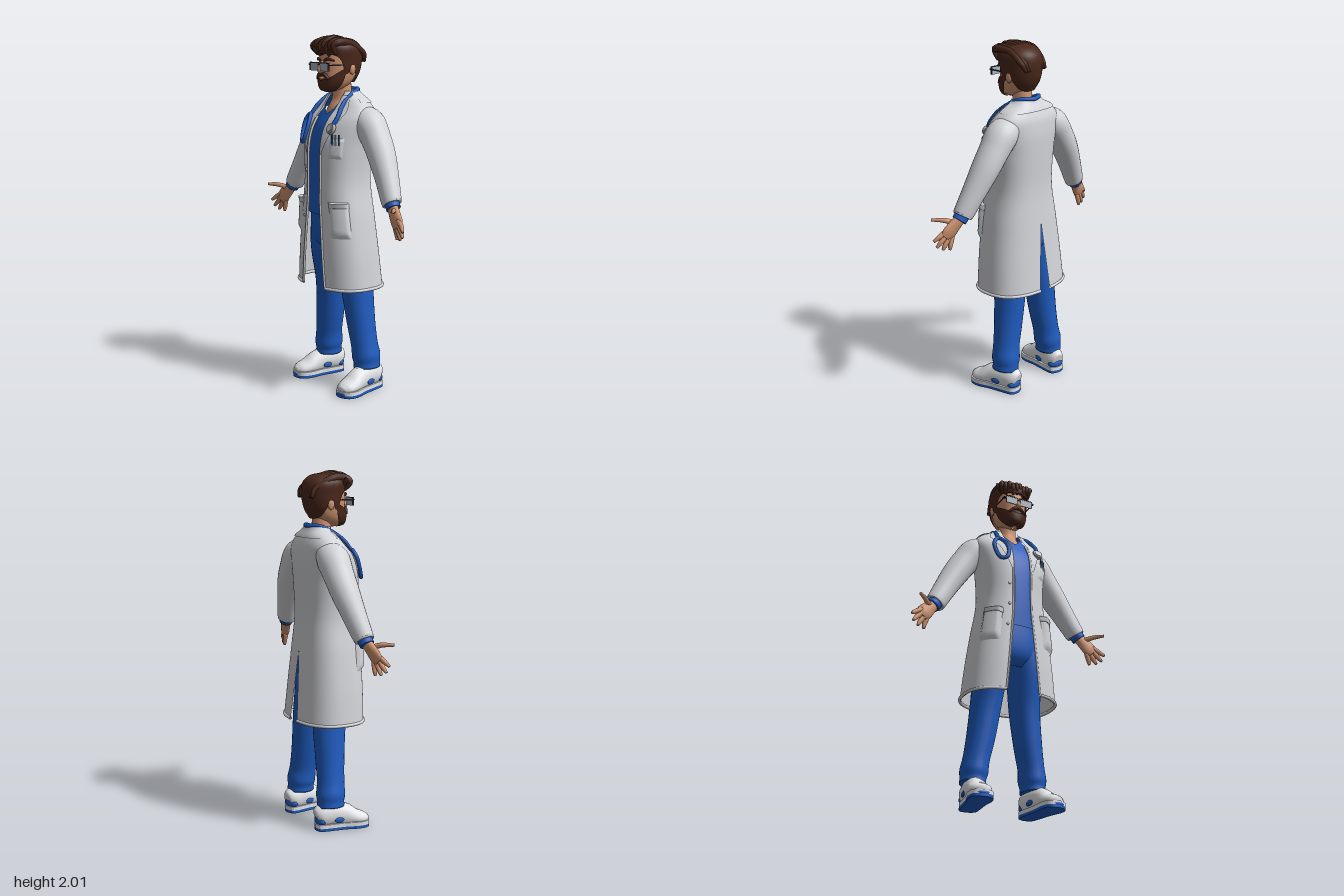
import * as THREE from 'three';
import { mergeVertices } from 'three/addons/utils/BufferGeometryUtils.js';

const V = (x, y, z) => new THREE.Vector3(x, y, z);
const mat = (name, color, side = THREE.FrontSide) => {
  const m = new THREE.MeshStandardMaterial({ color, side });
  m.name = name;
  return m;
};

// Smooth lookup in a table whose rows are [key, ...values]
function at(rows, k) {
  const n = rows.length - 1;
  k = Math.min(Math.max(k, rows[0][0]), rows[n][0]);
  let i = 0;
  while (i < n - 1 && k > rows[i + 1][0]) i++;
  const a = rows[i], b = rows[i + 1], p = rows[Math.max(i - 1, 0)], q = rows[Math.min(i + 2, n)];
  const h = b[0] - a[0], s = (k - a[0]) / h, s2 = s * s, s3 = s2 * s;
  return a.slice(1).map((v, j) => {
    const c = j + 1, m0 = (b[c] - p[c]) / (b[0] - p[0]) * h, m1 = (q[c] - a[c]) / (q[0] - a[0]) * h;
    return (2 * s3 - 3 * s2 + 1) * v + (s3 - 2 * s2 + s) * m0 + (3 * s2 - 2 * s3) * b[c] + (s3 - s2) * m1;
  });
}

// Surface from f(u, v); v x u points outward
function sheet(nu, nv, f) {
  const pos = [], idx = [];
  for (let i = 0; i <= nu; i++) for (let j = 0; j <= nv; j++) pos.push(...f(i / nu, j / nv).toArray());
  for (let i = 0; i < nu; i++) for (let j = 0; j < nv; j++) {
    const a = i * (nv + 1) + j, b = a + nv + 1;
    idx.push(a, a + 1, b, a + 1, b + 1, b);
  }
  let g = new THREE.BufferGeometry();
  g.setAttribute('position', new THREE.Float32BufferAttribute(pos, 3));
  g.setIndex(idx);
  g = mergeVertices(g, 1e-5);
  g.computeVertexNormals();
  return g;
}

// Capped limb through rows [x, y, z, width, depth]
function limb(rows, ref = V(0, 0, 1), nu = 26, nv = 18) {
  const R = rows.map((r, i) => [i, ...r]), L = rows.length - 1;
  return sheet(nu, nv, (u, v) => {
    const i = Math.round(u * nu), s = THREE.MathUtils.clamp((i - 1) / (nu - 2), 0, 1) * L;
    const [x, y, z, ra, rb] = at(R, s), cap = i === 0 || i === nu ? 0 : 1;
    const T = V(...at(R, s + 0.02)).sub(V(...at(R, s - 0.02))).normalize();
    const N = ref.clone().cross(T).normalize(), B = T.clone().cross(N), a = (v % 1) * Math.PI * 2;
    return V(x, y, z).addScaledVector(N, Math.cos(a) * ra * cap).addScaledVector(B, Math.sin(a) * rb * cap);
  });
}

// Point on a body shell of rows [y, halfWidth, zFront, zBack]; angle 0 is the front
const P = 0.8;
const pw = (v, p) => Math.sign(v) * Math.abs(v) ** p;
function shell(rows, y, t, off = 0, p = P) {
  const [w, f, b] = at(rows, y);
  return V((w + off) * pw(Math.sin(t), p), y, (f + b) / 2 + ((f - b) / 2 + off) * pw(Math.cos(t), p));
}
const angleOf = (rows, y, x) => Math.asin(Math.min(1, Math.abs(x) / at(rows, y)[0]) ** (1 / P));
const patch = (rows, lo, hi, t0, t1, off = 0, p = P, nu = 24, nv = 48) => sheet(nu, nv, (u, v) => {
  const t = t0 + (t1 - t0) * v, a = lo(Math.abs(t)), b = hi(Math.abs(t));
  return shell(rows, a + (b - a) * Math.sin(u * Math.PI / 2), t, off, p);
});

const COAT = [[0.6, 0.27, 0.195, -0.19], [0.8, 0.25, 0.195, -0.172], [1, 0.222, 0.19, -0.155], [1.2, 0.19, 0.186, -0.142],
  [1.4, 0.198, 0.182, -0.148], [1.5, 0.212, 0.155, -0.15], [1.56, 0.22, 0.118, -0.146], [1.6, 0.21, 0.08, -0.14],
  [1.65, 0.16, 0.045, -0.118], [1.68, 0.1, 0.03, -0.1], [1.7, 0.08, 0.025, -0.09]];
const SHIRT = [[1, 0.178, 0.162, -0.12], [1.2, 0.165, 0.167, -0.12], [1.4, 0.17, 0.16, -0.125], [1.5, 0.175, 0.134, -0.125],
  [1.58, 0.15, 0.092, -0.115], [1.64, 0.11, 0.058, -0.1], [1.67, 0.08, 0.04, -0.085]];
const HIPS = [[0.8, 0.1, 0.09, -0.08], [0.85, 0.165, 0.125, -0.115], [0.92, 0.18, 0.14, -0.12], [1.06, 0.165, 0.145, -0.115]];
const HEAD = [[1.695, 0.005, 0.09, 0.05], [1.705, 0.04, 0.115, 0.01], [1.74, 0.07, 0.126, -0.05], [1.8, 0.086, 0.126, -0.09],
  [1.88, 0.092, 0.124, -0.105], [1.94, 0.08, 0.1, -0.09], [1.975, 0.01, 0.02, -0.01]];
const HAIR = [[1.74, 0.07, 0.09, -0.075], [1.8, 0.1, 0.12, -0.108], [1.88, 0.11, 0.13, -0.122], [1.94, 0.11, 0.138, -0.114],
  [1.975, 0.082, 0.112, -0.08], [1.988, 0.05, 0.075, -0.04], [1.993, 0.002, 0.022, 0.018]];
const HAIRLINE = [[0, 1.905], [0.8, 1.895], [1.1, 1.86], [1.25, 1.8], [1.45, 1.8], [1.6, 1.84], [1.85, 1.8], [2.2, 1.755], [3.15, 1.742]];
const BEARDLINE = [[0, 1.762], [0.3, 1.768], [0.7, 1.782], [1.15, 1.812], [1.45, 1.83]];

const opening = y => (y > 1.1 ? 0.057 : 0.057 + (1.1 - y) * 0.092);
const frontEdge = y => angleOf(COAT, y, opening(y));
const backEdge = y => Math.PI - angleOf(COAT, y, y < 1 ? 0.1 * (1 - y) : 0);
const onCoat = (x, y, off = 0.012) => {
  const t = angleOf(COAT, y, x) * Math.sign(x);
  return shell(COAT, y, t).add(V(0, off * 0.3, off));
};

export function createModel() {
  const root = new THREE.Group();
  root.name = 'doctor';
  const coat = mat('coatWhite', 0xd3d4d8, THREE.DoubleSide), blue = mat('scrubBlue', 0x1f5cc0, THREE.DoubleSide);
  const skin = mat('skin', 0xcf9370), hair = mat('hairBrown', 0x4a281b, THREE.DoubleSide), lens = mat('lensGrey', 0xa9b4bf);
  const frame = mat('frameDark', 0x2b2b30), shoeWhite = mat('shoeWhite', 0xe4e5e8), metal = mat('metal', 0xa3a7ae);

  const add = (name, geo, m, parent = root) => {
    const o = new THREE.Mesh(geo, m);
    o.name = name;
    parent.add(o);
    return o;
  };
  const mirror = geo => {
    const g = geo.clone().scale(-1, 1, 1), ix = g.index.array;
    for (let i = 0; i < ix.length; i += 3) [ix[i], ix[i + 1]] = [ix[i + 1], ix[i]];
    g.computeVertexNormals();
    return g;
  };
  const both = (name, geo, m) => { add('left' + name, geo, m); add('right' + name, mirror(geo), m); };
  const tube = (pts, r, n = 40) => new THREE.TubeGeometry(new THREE.CatmullRomCurve3(pts), n, r, 8);
  const ball = (x, y, z, a, b, c) => new THREE.SphereGeometry(1, 20, 14).scale(a, b, c).translate(x, y, z);
  const box = (x, y, z, a, b, c) => new THREE.BoxGeometry(a, b, c).translate(x, y, z);

  // Coat halves with open front and back vent
  both('CoatHalf', sheet(56, 40, (u, v) => {
    const y = 0.6 + 1.1 * u, a = frontEdge(y);
    return shell(COAT, y, a + (backEdge(y) - a) * v);
  }), coat);
  const steps = [...Array(17).keys()].map(i => i / 16);
  both('CoatHem', tube(steps.map(s => {
    const a = frontEdge(0.61);
    return shell(COAT, 0.61, a + (backEdge(0.61) - a) * s);
  }), 0.009), coat);
  both('CoatFrontEdge', tube(steps.map(s => shell(COAT, 0.61 + s * 0.95, frontEdge(0.61 + s * 0.95))), 0.007), coat);
  both('Lapel', sheet(20, 8, (u, v) => {
    const y = 1.36 + 0.32 * u;
    return shell(COAT, y, frontEdge(y) + v * (0.05 + 0.42 * Math.min(1, u * 1.4)), 0.009);
  }), coat);
  add('collar', patch(COAT, () => 1.64, () => 1.7, 1.3, 2 * Math.PI - 1.3, 0.009), coat);

  // Pockets, bulging most at the top
  const pocket = (y0, y1, t0, t1, d) => sheet(12, 12, (u, v) => shell(COAT, y0 + (y1 - y0) * u, t0 + (t1 - t0) * v,
    d * Math.min(1, 6 * v, 6 * (1 - v), 8 * u, 20 * (1 - u)) * (0.7 + 0.3 * u) + 0.001));
  both('HipPocket', pocket(0.9, 1.1, 0.52, 1.2, 0.02), coat);
  both('PocketFlap', pocket(1.065, 1.1, 0.5, 1.22, 0.028), coat);
  add('chestPocket', pocket(1.34, 1.45, 0.5, 1.02, 0.009), coat);
  [[0.135, blue], [0.15, metal], [0.165, blue]].forEach(([x, m], i) => {
    const p = onCoat(x, 1.44, 0.012);
    add('pen' + i, new THREE.CylinderGeometry(0.005, 0.005, 0.06, 8).translate(p.x, p.y, p.z), m);
  });
  for (const y of [1.0, 1.13, 1.26]) {
    const p = shell(COAT, y, -frontEdge(y) - 0.12, 0.003);
    add('button', ball(p.x, p.y, p.z, 0.008, 0.008, 0.005), coat);
  }

  // Sleeves and cuffs
  both('Sleeve', limb([[0.12, 1.575, -0.045, 0.055, 0.07], [0.195, 1.53, -0.045, 0.086, 0.092], [0.26, 1.45, -0.045, 0.08, 0.086],
    [0.32, 1.36, -0.038, 0.075, 0.08], [0.39, 1.24, -0.02, 0.065, 0.066], [0.445, 1.14, -0.002, 0.058, 0.056],
    [0.457, 1.12, 0, 0.053, 0.052]], undefined, 34, 24), coat);
  both('Cuff', limb([[0.44, 1.145, 0, 0.043, 0.043], [0.476, 1.098, 0.006, 0.041, 0.04]]), blue);

  // Hands, palms forward
  both('Palm', limb([[0.45, 1.125, 0, 0.03, 0.026], [0.49, 1.083, 0.015, 0.038, 0.025], [0.53, 1.037, 0.028, 0.045, 0.021],
    [0.552, 1.012, 0.033, 0.036, 0.014]]), skin);
  [['Index', [0.548, 1.048, 0.033], [0.588, 1.022, 0.045], [0.615, 1.0, 0.06]],
    ['Middle', [0.545, 1.028, 0.033], [0.58, 0.992, 0.04], [0.602, 0.965, 0.05]],
    ['Ring', [0.53, 1.012, 0.03], [0.556, 0.972, 0.033], [0.57, 0.946, 0.038]],
    ['Pinky', [0.512, 1.01, 0.026], [0.526, 0.966, 0.024], [0.53, 0.94, 0.025]],
    ['Thumb', [0.49, 1.085, 0.018], [0.54, 1.103, 0.06], [0.588, 1.106, 0.105]]].forEach(([n, a, b, c]) =>
    both(n + 'Finger', limb([[...a, 0.015, 0.014], [...b, 0.0135, 0.013], [...c, 0.008, 0.008]], undefined, 12, 10), skin));

  // Scrubs
  add('shirt', patch(SHIRT, () => 1.015, t => 1.575 + 0.09 * Math.min(1, t / 0.6), -Math.PI, Math.PI), blue);
  add('hips', patch(HIPS, () => 0.8, () => 1.06, -Math.PI, Math.PI), blue);
  both('TrouserLeg', limb([[0.09, 0.95, 0.005, 0.088, 0.125], [0.105, 0.8, 0, 0.095, 0.115], [0.12, 0.6, -0.025, 0.086, 0.097],
    [0.145, 0.4, -0.035, 0.079, 0.084], [0.168, 0.27, -0.042, 0.073, 0.079], [0.178, 0.2, -0.048, 0.077, 0.084],
    [0.182, 0.16, -0.05, 0.07, 0.079], [0.184, 0.13, -0.05, 0.071, 0.08]], undefined, 44, 24), blue);

  // Shoes
  const outline = new THREE.Shape();
  outline.setFromPoints(new THREE.SplineCurve([[0, -0.148], [0.045, -0.13], [0.054, -0.06], [0.058, 0.02], [0.07, 0.1], [0.052, 0.155], [0, 0.175],
    [-0.052, 0.155], [-0.066, 0.1], [-0.054, 0.02], [-0.052, -0.06], [-0.045, -0.13], [0, -0.148]]
    .map(p => new THREE.Vector2(p[0], -p[1]))).getPoints(48));
  const sole = (y, h) => new THREE.ExtrudeGeometry(outline, { depth: h, bevelEnabled: false }).rotateX(-Math.PI / 2).translate(0, y, 0);
  for (const s of [1, -1]) {
    const shoe = new THREE.Group();
    shoe.name = s > 0 ? 'leftShoe' : 'rightShoe';
    shoe.position.set(s * 0.197, 0, 0);
    shoe.rotation.y = s * 0.16;
    root.add(shoe);
    add('outsole', sole(0, 0.016), blue, shoe);
    add('midsole', sole(0.016, 0.022), shoeWhite, shoe);
    add('upper', limb([[0, 0.07, -0.14, 0.034, 0.045], [0, 0.08, -0.11, 0.052, 0.068], [0, 0.085, -0.04, 0.056, 0.073],
      [0, 0.073, 0.03, 0.058, 0.066], [0, 0.055, 0.09, 0.064, 0.045], [0, 0.044, 0.14, 0.054, 0.034], [0, 0.04, 0.168, 0.025, 0.02]],
    V(0, 1, 0)), shoeWhite, shoe);
    add('toeBumper', ball(0, 0.022, 0.155, 0.04, 0.018, 0.022), blue, shoe);
    add('heelPatch', ball(0, 0.055, -0.115, 0.052, 0.032, 0.032), blue, shoe);
    for (const x of [-1, 1]) add('sidePatch', ball(x * 0.056, 0.06, -0.02, 0.006, 0.016, 0.028), blue, shoe);
    for (let i = 0; i < 4; i++) add('lace', tube([V(-0.035, 0.118 - i * 0.013, 0.03 + i * 0.02), V(0, 0.138 - i * 0.014, 0.032 + i * 0.02),
      V(0.035, 0.118 - i * 0.013, 0.03 + i * 0.02)], 0.006, 10), shoeWhite, shoe);
  }

  // Neck, head and face
  add('neck', limb([[0, 1.5, 0.015, 0.1, 0.07], [0, 1.57, 0.01, 0.085, 0.07], [0, 1.64, -0.008, 0.06, 0.058], [0, 1.7, -0.01, 0.053, 0.055],
    [0, 1.8, 0, 0.052, 0.055]]), skin);
  add('head', patch(HEAD, () => 1.695, () => 1.975, -Math.PI, Math.PI, 0, 0.9), skin);
  add('nose', limb([[0, 1.865, 0.122, 0.009, 0.01], [0, 1.835, 0.135, 0.012, 0.014], [0, 1.815, 0.14, 0.017, 0.016], [0, 1.804, 0.13, 0.01, 0.01]]), skin);
  both('Ear', ball(0.1, 1.822, -0.004, 0.011, 0.03, 0.02), skin);
  add('beard', patch(HEAD, () => 1.695, t => at(BEARDLINE, t)[0], -1.45, 1.45, 0.011, 0.9), hair);
  both('Moustache', limb([[0, 1.796, 0.132, 0.008, 0.01], [0.025, 1.792, 0.13, 0.01, 0.011], [0.05, 1.768, 0.118, 0.008, 0.01]]), hair);
  add('lip', ball(0, 1.773, 0.131, 0.024, 0.008, 0.01), skin);
  both('Eyebrow', limb([[0.016, 1.868, 0.126, 0.006, 0.006], [0.045, 1.877, 0.12, 0.008, 0.007], [0.075, 1.868, 0.1, 0.004, 0.005]]), hair);

  // Hair cap with swept locks
  add('hairCap', patch(HAIR, t => at(HAIRLINE, t)[0], () => 1.993, -Math.PI, Math.PI, 0, 0.95, 24, 72), hair);
  for (let i = -4; i <= 4; i++) {
    const x = i * 0.023, d = Math.abs(i) * 0.004, w = 0.008 * Math.sin(i * 2.3);
    add('lock', limb([[x * 0.9, 1.9 + w, 0.118 - d * 1.5, 0.008, 0.008], [x * 1.02 - 0.008, 1.945 + w, 0.132 - d, 0.017, 0.014],
      [x + 0.008, 1.983 - d * 0.9 + w * 0.4, 0.085, 0.02, 0.016], [x, 1.977 - d, 0.0, 0.02, 0.016], [x * 0.9 + 0.01, 1.925 - d, -0.085, 0.016, 0.014],
      [x * 0.8, 1.86, -0.11, 0.008, 0.008]], V(1, 0, 0), 26, 10), hair);
  }
  add('sideTuft', limb([[-0.07, 1.93, 0.08, 0.02, 0.02], [-0.1, 1.945, 0.085, 0.014, 0.014], [-0.115, 1.968, 0.08, 0.004, 0.004]]), hair);

  // Glasses
  both('Lens', box(0.046, 1.833, 0.146, 0.07, 0.042, 0.005), lens);
  both('LensRim', box(0.046, 1.856, 0.146, 0.076, 0.005, 0.008), frame);
  both('LensSide', box(0.083, 1.835, 0.146, 0.005, 0.044, 0.008), frame);
  both('Temple', box(0.095, 1.845, 0.07, 0.004, 0.007, 0.155), frame);
  both('Hinge', box(0.089, 1.845, 0.146, 0.014, 0.007, 0.006), frame);
  add('bridge', box(0, 1.846, 0.146, 0.022, 0.005, 0.007), frame);

  // Stethoscope
  add('stethoscopeTube', tube([onCoat(0.115, 1.51), onCoat(0.125, 1.56), onCoat(0.108, 1.62, 0.016), V(0.088, 1.68, -0.005), V(0.07, 1.705, -0.065),
    V(0, 1.705, -0.102), V(-0.07, 1.705, -0.065), V(-0.088, 1.68, -0.005), onCoat(-0.108, 1.62, 0.016), onCoat(-0.12, 1.56)], 0.012, 80), blue);
  add('stethoscopeLoop', new THREE.TubeGeometry(new THREE.CatmullRomCurve3([[-0.12, 1.565], [-0.09, 1.53], [-0.083, 1.47], [-0.1, 1.415], [-0.13, 1.41],
    [-0.152, 1.46], [-0.152, 1.53]].map(p => onCoat(...p, 0.018)), true), 60, 0.011, 8, true), blue);
  const c = onCoat(0.115, 1.5, 0.014);
  const piece = add('chestPiece', new THREE.CylinderGeometry(0.028, 0.032, 0.018, 24).rotateX(1.2), metal);
  piece.position.copy(c);
  add('chestPieceDisc', new THREE.CylinderGeometry(0.018, 0.018, 0.024, 20).rotateX(1.2), coat).position.copy(c);
  return root;
}
